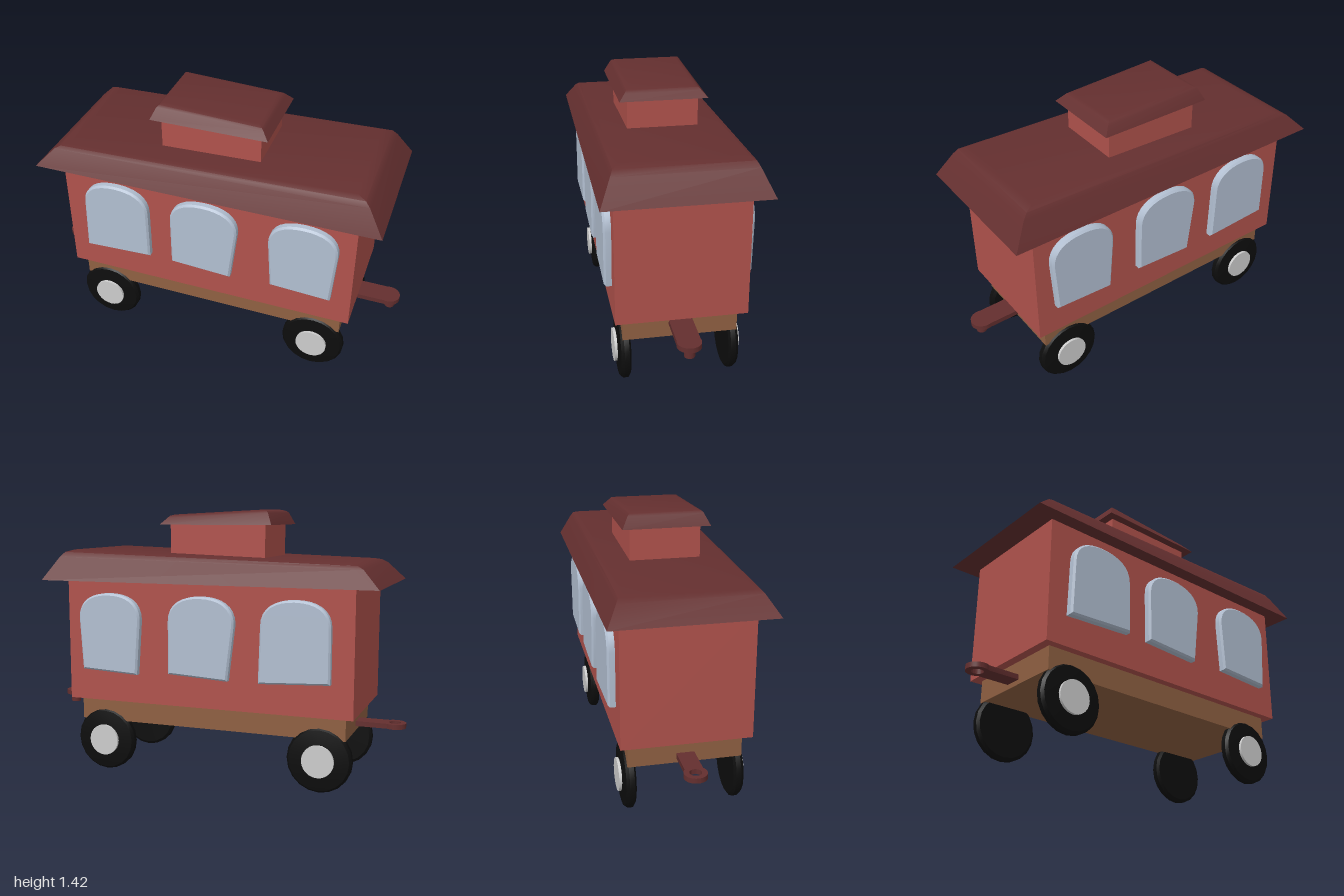
import * as THREE from 'three';
import { toCreasedNormals } from 'three/addons/utils/BufferGeometryUtils.js';

function paint(name, color) {
  const m = new THREE.MeshStandardMaterial({ color });
  m.name = name;
  return m;
}

// Closed loft through rectangular rings [xLeft, xRight, halfDepth, yLeft, yRight], bottom to top
function hippedRoof(rings) {
  const corners = rings.map(([x0, x1, z, y0, y1]) => [[x0, y0, z], [x1, y1, z], [x1, y1, -z], [x0, y0, -z]]);
  const pos = [];
  const quad = (a, b, c, d) => pos.push(...a, ...b, ...c, ...a, ...c, ...d);
  for (let i = 0; i < corners.length - 1; i++) {
    for (let k = 0; k < 4; k++) {
      const n = (k + 1) % 4;
      quad(corners[i][k], corners[i][n], corners[i + 1][n], corners[i + 1][k]);
    }
  }
  quad(...corners[corners.length - 1]);
  quad(...corners[0].slice().reverse());
  const g = new THREE.BufferGeometry();
  g.setAttribute('position', new THREE.Float32BufferAttribute(pos, 3));
  return toCreasedNormals(g, 0.7);
}

// Arched pane, slightly crooked: bottom corners and the spring line differ per window
function windowGeometry([bl, bly, br, bry, tl, tr]) {
  const spring = 0.85, top = 0.978, mid = (tl + tr) / 2;
  const s = new THREE.Shape();
  s.moveTo(bl, bly);
  s.lineTo(br, bry);
  s.lineTo(tr, spring);
  s.bezierCurveTo(tr, 0.94, mid + 0.1, top, mid, top);
  s.bezierCurveTo(mid - 0.1, top, tl, 0.94, tl, spring);
  s.closePath();
  return toCreasedNormals(new THREE.ExtrudeGeometry(s, {
    depth: 0.03, curveSegments: 8, bevelEnabled: true,
    bevelThickness: 0.01, bevelSize: 0.01, bevelOffset: -0.002, bevelSegments: 1,
  }), 0.5);
}

export function createModel() {
  const group = new THREE.Group();
  group.name = 'railwayCarriage';
  const red = paint('redBody', 0xb0524c);
  const maroon = paint('maroonRoof', 0x642f2f);
  const brown = paint('brownChassis', 0x8f6042);
  const black = paint('blackTyre', 0x0d0d0d);
  const grey = paint('greyHub', 0xcccccc);
  const glass = paint('paleBlueWindow', 0xb2bfd1);

  const add = (name, geometry, material, parent = group) => {
    const mesh = new THREE.Mesh(geometry, material);
    mesh.name = name;
    parent.add(mesh);
    return mesh;
  };
  const box = (name, x0, x1, y0, y1, halfZ, material) =>
    add(name, new THREE.BoxGeometry(x1 - x0, y1 - y0, halfZ * 2), material)
      .position.set((x0 + x1) / 2, (y0 + y1) / 2, 0);

  // Body, chassis and raised lantern
  box('chassis', -0.745, 0.735, 0.28, 0.4, 0.286, brown);
  box('body', -0.79, 0.785, 0.4, 1.055, 0.327, red);
  box('lantern', -0.285, 0.242, 1.1, 1.355, 0.18, red);

  // Leaning roofs
  add('mainRoof', hippedRoof([
    [-0.915, 0.908, 0.4, 1.05, 1.05],
    [-0.825, 0.825, 0.342, 1.142, 1.175],
    [-0.795, 0.8, 0.328, 1.158, 1.2],
    [-0.755, 0.755, 0.3, 1.165, 1.213],
  ]), maroon);
  add('lanternRoof', hippedRoof([
    [-0.33, 0.287, 0.223, 1.347, 1.347],
    [-0.302, 0.255, 0.192, 1.408, 1.382],
    [-0.292, 0.243, 0.182, 1.418, 1.394],
    [-0.268, 0.222, 0.16, 1.425, 1.4],
  ]), maroon);

  // Three windows per side; the far ones are each turned about their own middle
  const windows = [
    [-0.495, [-0.18, 0.565, 0.175, 0.582, -0.17, 0.175]],
    [0, [-0.178, 0.582, 0.135, 0.565, -0.178, 0.17]],
    [0.525, [-0.155, 0.58, 0.15, 0.565, -0.172, 0.17]],
  ];
  for (const [x, outline] of windows) {
    const geometry = windowGeometry(outline);
    for (const side of [1, -1]) {
      const pane = add(side > 0 ? 'frontWindow' : 'backWindow', geometry, glass);
      pane.position.set(x, 0, side * 0.325);
      if (side < 0) pane.rotation.y = Math.PI;
    }
  }

  // Wheels: bevelled tyre and a raised hub, turned to face outwards
  const tyreProfile = [[0, -0.025], [0.155, -0.025], [0.17, -0.015], [0.17, 0.01], [0.158, 0.025], [0.09, 0.034], [0, 0.034]]
    .map(([r, y]) => new THREE.Vector2(r, y));
  const tyre = toCreasedNormals(new THREE.LatheGeometry(tyreProfile, 20), 0.5);
  const hub = new THREE.CylinderGeometry(0.084, 0.084, 0.02, 24);
  for (const x of [-0.61, 0.595]) {
    for (const side of [1, -1]) {
      const wheel = new THREE.Group();
      wheel.name = 'wheel';
      add('tyre', tyre, black, wheel);
      add('hub', hub, grey, wheel).position.y = 0.038;
      wheel.position.set(x, 0.172, side * 0.27);
      wheel.rotation.x = side * Math.PI / 2;
      group.add(wheel);
    }
  }

  // Flat coupling bar with a round end, pointing to +x before placement
  const coupling = (length, half, r, hole) => {
    const s = new THREE.Shape();
    const a = Math.asin(Math.min(1, half / r));
    s.moveTo(0, -half);
    s.lineTo(length - r * Math.cos(a), -half);
    s.absarc(length, 0, r, -Math.PI + a, Math.PI - a, false);
    s.lineTo(0, half);
    s.closePath();
    if (hole) s.holes.push(new THREE.Path().absarc(length, 0, hole, 0, Math.PI * 2, true));
    const g = new THREE.ExtrudeGeometry(s, { depth: 0.026, bevelEnabled: false, curveSegments: 20 });
    return toCreasedNormals(g.rotateX(-Math.PI / 2), 0.6);
  };
  add('pinCoupling', coupling(0.24, 0.058, 0.06, 0), maroon).position.set(0.7, 0.346, 0);
  add('couplingPin', new THREE.CylinderGeometry(0.027, 0.027, 0.06, 16), maroon).position.set(0.95, 0.33, 0);
  const ring = add('ringCoupling', coupling(0.245, 0.045, 0.057, 0.03), maroon);
  ring.position.set(-0.698, 0.305, 0);
  ring.rotation.y = Math.PI;

  return group;
}
